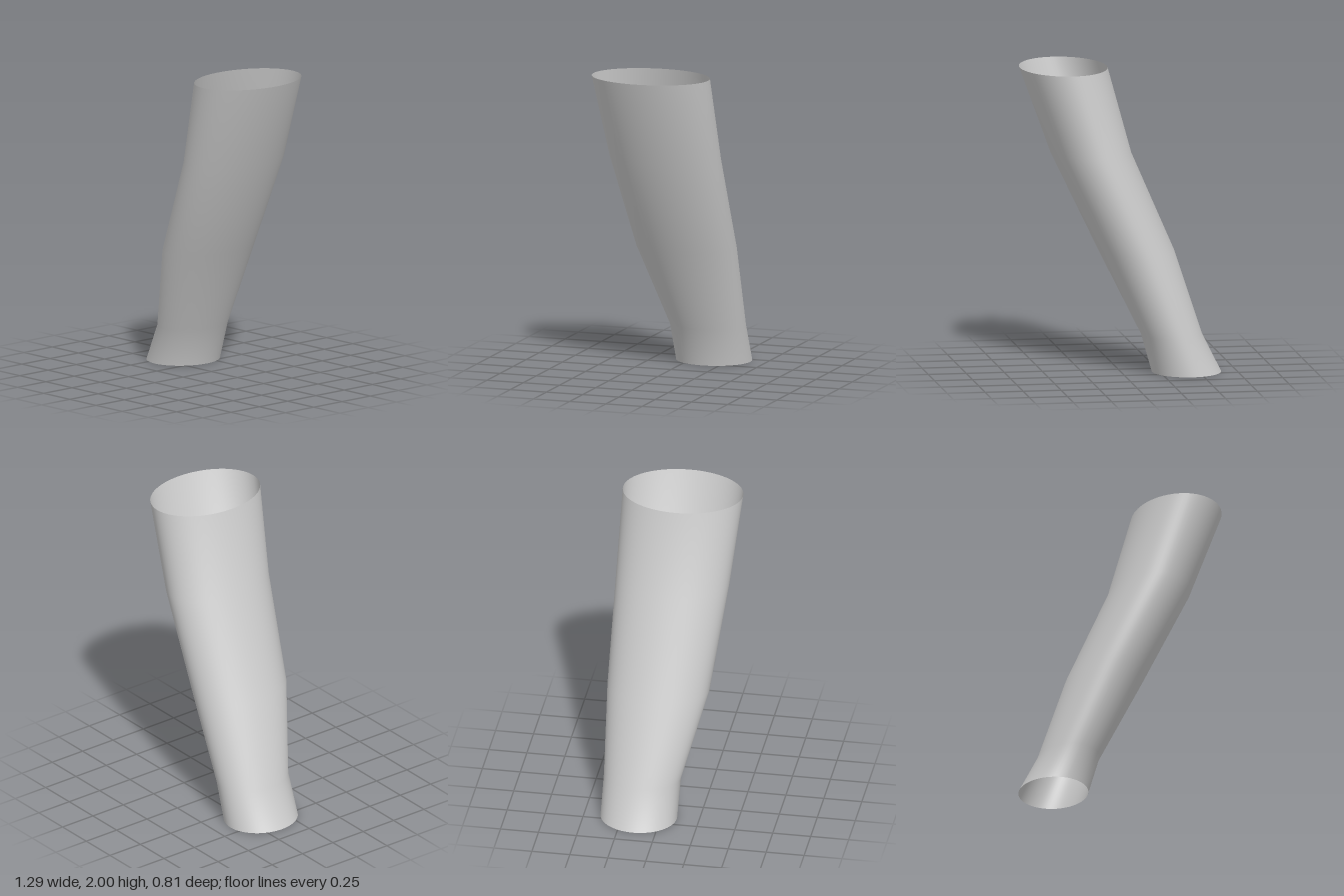
import * as THREE from 'three';

// Cross-sections from the cuff up: height, x range, z range
const RINGS = [
  [0.00, -0.65, -0.20, -0.395, 0.105],
  [0.25, -0.525, -0.13, -0.39, 0.115],
  [0.80, -0.35, 0.14, -0.405, 0.265],
  [1.44, -0.075, 0.445, -0.40, 0.345],
  [2.00, 0.075, 0.645, -0.385, 0.405],
];
const SIDES = 64;

export function createModel() {
  const group = new THREE.Group();
  group.name = 'sleeve';

  const grey = new THREE.MeshStandardMaterial({ color: 0xcccccc, side: THREE.DoubleSide });
  grey.name = 'light grey';

  // Open tube: each row of cylinder vertices is fitted to one elliptical ring
  const geometry = new THREE.CylinderGeometry(1, 1, 1, SIDES, RINGS.length - 1, true);
  const position = geometry.attributes.position;
  for (let i = 0; i < position.count; i++) {
    const row = Math.floor(i / (SIDES + 1));
    const [y, x0, x1, z0, z1] = RINGS[RINGS.length - 1 - row];
    position.setXYZ(
      i,
      (x0 + x1) / 2 + position.getX(i) * (x1 - x0) / 2,
      y,
      (z0 + z1) / 2 + position.getZ(i) * (z1 - z0) / 2,
    );
  }
  geometry.computeVertexNormals();

  // Give both sides of the seam the same normal so the surface stays smooth
  const normal = geometry.attributes.normal;
  const a = new THREE.Vector3();
  const b = new THREE.Vector3();
  for (let row = 0; row < RINGS.length; row++) {
    const first = row * (SIDES + 1);
    const last = first + SIDES;
    a.fromBufferAttribute(normal, first);
    b.fromBufferAttribute(normal, last);
    a.add(b).normalize();
    normal.setXYZ(first, a.x, a.y, a.z);
    normal.setXYZ(last, a.x, a.y, a.z);
  }

  const tube = new THREE.Mesh(geometry, grey);
  tube.name = 'sleeveTube';
  group.add(tube);
  return group;
}
